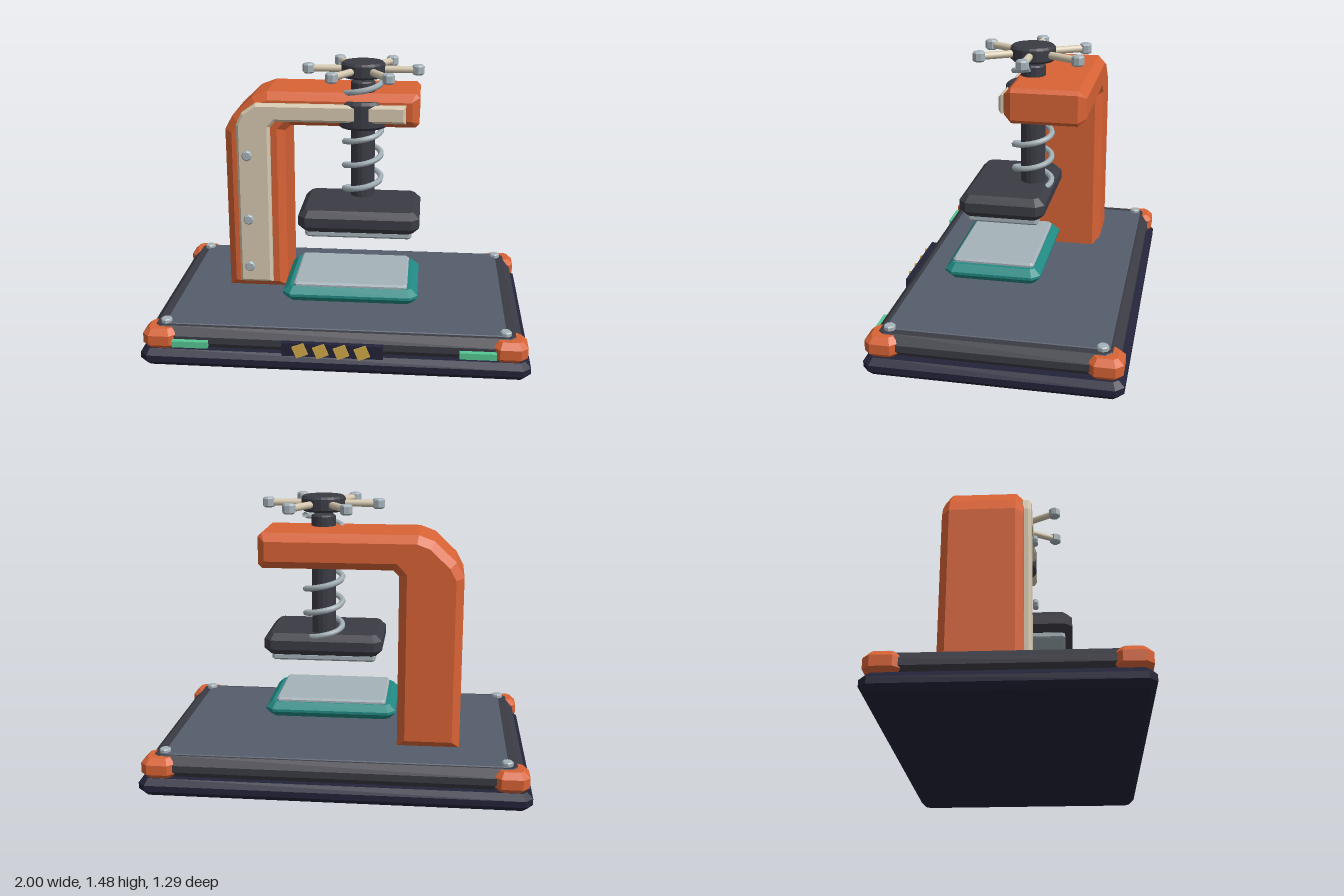
import * as THREE from 'three';

const mat = (name, color) => {
  const m = new THREE.MeshStandardMaterial({ color });
  m.name = name;
  return m;
};

export function createModel() {
  const M = {
    navy: mat('dark navy', 0x23233a),
    charcoal: mat('charcoal', 0x3b3b45),
    slate: mat('slate', 0x555d6b),
    orange: mat('orange', 0xd86335),
    cream: mat('cream', 0xd6c9b0),
    metal: mat('pale metal', 0xa5b2b9),
    teal: mat('teal', 0x228a84),
    green: mat('green', 0x55c793),
    gold: mat('gold', 0xd2aa48),
  };
  const root = new THREE.Group();
  root.name = 'benchPress';

  const add = (name, geo, material, x = 0, y = 0, z = 0, parent = root) => {
    const mesh = new THREE.Mesh(geo, material);
    mesh.name = name;
    mesh.position.set(x, y, z);
    parent.add(mesh);
    return mesh;
  };

  // Extrusion along z between two planes, chamfered inside the given outline
  const bevelled = (points, z0, z1, c) => {
    const shape = new THREE.Shape(points.map(([x, y]) => new THREE.Vector2(x, y)));
    const g = new THREE.ExtrudeGeometry(shape, {
      depth: z1 - z0 - 2 * c, bevelEnabled: true, bevelThickness: c,
      bevelSize: c, bevelOffset: -c, bevelSegments: 1,
    });
    return g.translate(0, 0, z0 + c);
  };

  // Box from its limits, with every edge chamfered
  const block = (name, material, [x0, x1], [y0, y1], [z0, z1], c, cut = c * 1.5) => {
    const a = (x1 - x0) / 2, b = (z1 - z0) / 2;
    const pts = [
      [-a + cut, -b], [a - cut, -b], [a, -b + cut], [a, b - cut],
      [a - cut, b], [-a + cut, b], [-a, b - cut], [-a, -b + cut],
    ];
    const h = y1 - y0;
    const g = bevelled(pts, -h / 2, h / 2, c).rotateX(-Math.PI / 2);
    return add(name, g, material, (x0 + x1) / 2, (y0 + y1) / 2, (z0 + z1) / 2);
  };

  // Round part with chamfered rims, axis along y, centred
  const drum = (r, h, c, sides) => {
    const pts = [[0, -h / 2], [r - c, -h / 2], [r, -h / 2 + c], [r, h / 2 - c], [r - c, h / 2], [0, h / 2]];
    const g = new THREE.LatheGeometry(pts.map(([x, y]) => new THREE.Vector2(x, y)), sides).toNonIndexed();
    g.computeVertexNormals();
    return g;
  };

  // Base, frame and deck
  block('base', M.navy, [-1, 1], [0, 0.092], [-0.645, 0.635], 0.03, 0.04);
  block('baseFrame', M.charcoal, [-0.96, 0.96], [0.088, 0.204], [-0.615, 0.605], 0.04, 0.05);
  block('deck', M.slate, [-0.878, 0.878], [0.19, 0.209], [-0.565, 0.545], 0.004, 0.01);

  // Corner guards with their screws
  for (const sx of [-1, 1]) {
    for (const sz of [-1, 1]) {
      const xs = [0.805, 0.982].map(v => v * sx).sort((p, q) => p - q);
      const zs = [0.46, 0.632].map(v => v * sz - 0.005).sort((p, q) => p - q);
      block('cornerGuard', M.orange, xs, [0.088, 0.2], zs, 0.03, 0.035);
      add('deckScrew', drum(0.03, 0.03, 0.006, 8), M.metal, sx * 0.873, 0.212, sz * 0.525 - 0.005);
    }
  }

  // Front strips and the marker panel
  for (const s of [-1, 1]) {
    add('frontStrip', new THREE.BoxGeometry(0.185, 0.034, 0.034), M.green, s * 0.732, 0.132, 0.616);
  }
  add('markerPanel', new THREE.BoxGeometry(0.515, 0.07, 0.038), M.navy, 0, 0.13, 0.617);
  for (let i = 0; i < 4; i++) {
    const d = add('marker', new THREE.BoxGeometry(0.064, 0.064, 0.009), M.gold, -0.163 + i * 0.105, 0.13, 0.6405);
    d.rotation.z = 0.38;
  }

  // Hooked press arm
  add('arm', bevelled([
    [-0.635, 0.207], [-0.31, 0.207], [-0.31, 1.11], [-0.28, 1.14], [0.385, 1.14], [0.405, 1.16],
    [0.405, 1.3], [0.385, 1.32], [-0.405, 1.32], [-0.485, 1.29], [-0.595, 1.185], [-0.635, 1.11],
  ], -0.365, 0.05, 0.04), M.orange);

  // Cream facing on the arm and its bolts
  add('armFacing', bevelled([
    [-0.565, 0.255], [-0.385, 0.255], [-0.385, 1.14], [-0.355, 1.172], [0.335, 1.172],
    [0.335, 1.267], [-0.46, 1.267], [-0.535, 1.215], [-0.565, 1.15],
  ], 0.03, 0.086, 0.014), M.cream);
  for (const y of [0.99, 0.63, 0.357]) {
    add('facingBolt', drum(0.029, 0.026, 0.007, 8), M.metal, -0.505, y, 0.105).rotation.x = Math.PI / 2;
  }

  // Spindle, collar and spring
  const ax = 0.103, az = -0.05;
  add('collar', drum(0.142, 0.15, 0.015, 20), M.charcoal, ax, 1.207, az);
  add('spindle', drum(0.065, 0.67, 0.008, 16), M.charcoal, ax, 1.043, az);

  class Helix extends THREE.Curve {
    getPoint(t, target = new THREE.Vector3()) {
      const a = t * Math.PI * 10;
      return target.set(0.099 * Math.cos(a), 0.71 + 0.6625 * t, -0.099 * Math.sin(a));
    }
  }
  const spring = new THREE.TubeGeometry(new Helix(), 120, 0.016, 6, false);
  add('spring', spring, M.metal, ax, 0, az).material.side = THREE.DoubleSide;

  // Handwheel with six spokes
  const wheel = new THREE.Group();
  wheel.name = 'handwheel';
  wheel.position.set(ax, 1.438, az);
  root.add(wheel);
  add('hub', drum(0.117, 0.08, 0.012, 20), M.charcoal, 0, 0, 0, wheel);
  for (let i = 0; i < 6; i++) {
    const arm = new THREE.Group();
    arm.name = 'spokeArm';
    arm.rotation.y = i * Math.PI / 3;
    wheel.add(arm);
    const rod = new THREE.CylinderGeometry(0.019, 0.019, 0.2, 10).rotateZ(Math.PI / 2);
    add('spoke', rod, M.cream, 0.18, 0, 0, arm);
    add('knob', drum(0.033, 0.052, 0.008, 8), M.metal, 0.289, 0, 0, arm);
  }

  // Upper and lower pressing blocks
  block('ram', M.charcoal, [-0.215, 0.42], [0.627, 0.745], [-0.16, 0.285], 0.034, 0.04);
  block('ramPlate', M.metal, [-0.18, 0.38], [0.595, 0.635], [-0.125, 0.247], 0.01);
  block('padBlock', M.teal, [-0.29, 0.42], [0.268, 0.35], [-0.14, 0.37], 0.034, 0.04);
  block('padPlate', M.metal, [-0.235, 0.365], [0.34, 0.37], [-0.1, 0.335], 0.01);

  return root;
}
